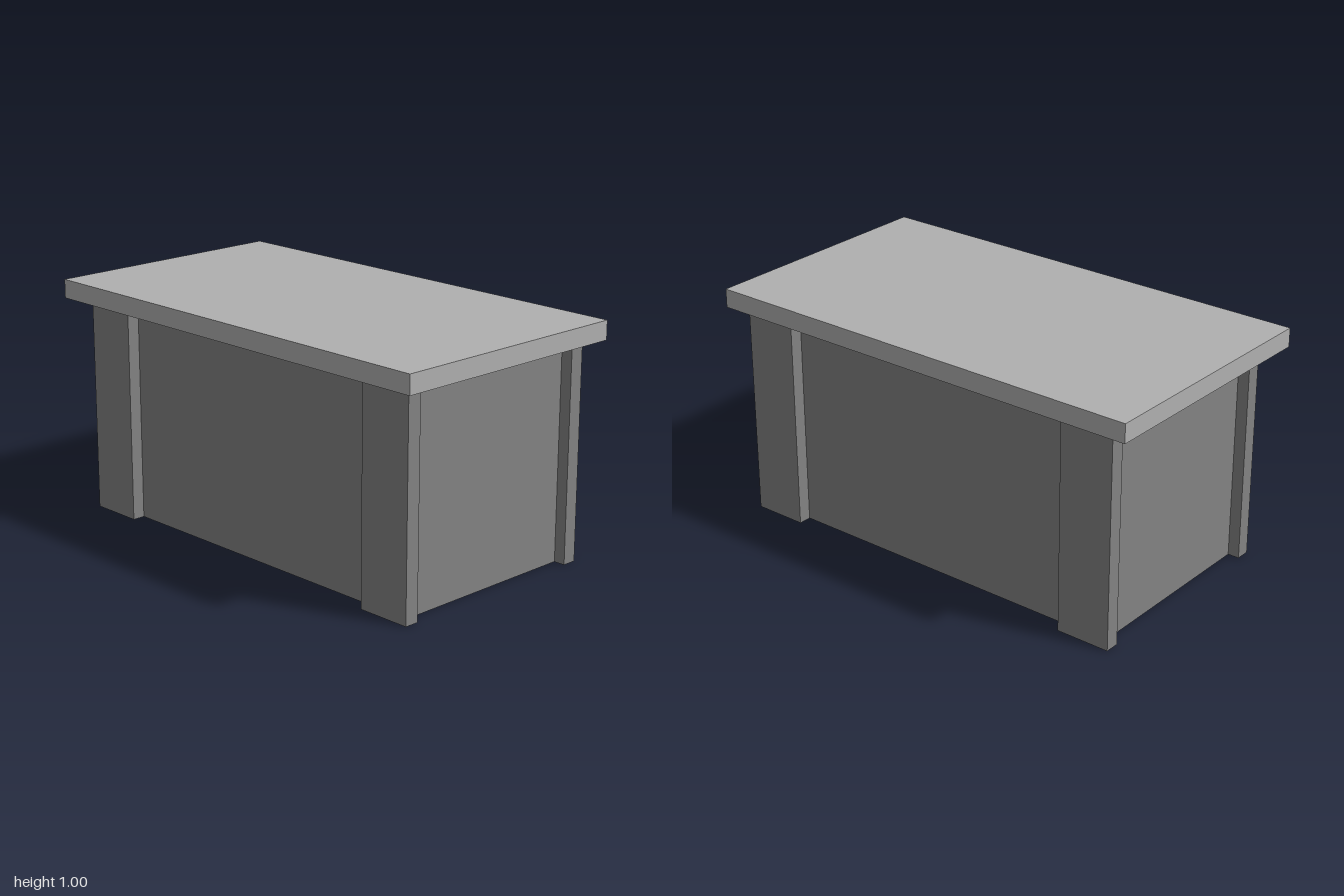
import * as THREE from 'three';

// Four upright walls, open above and below; the slab closes the top.
function openBox(name, x0, x1, z0, z1, height, material) {
  const group = new THREE.Group();
  group.name = name;
  const cx = (x0 + x1) / 2, cz = (z0 + z1) / 2;
  const w = x1 - x0, d = z1 - z0;
  const walls = [
    ['Front', w, cx, z1, 0],
    ['Left', d, x1, cz, Math.PI / 2],
    ['Back', w, cx, z0, Math.PI],
    ['Right', d, x0, cz, -Math.PI / 2],
  ];
  for (const [side, width, x, z, turn] of walls) {
    const wall = new THREE.Mesh(new THREE.PlaneGeometry(width, height), material);
    wall.name = name + side;
    wall.position.set(x, height / 2, z);
    wall.rotation.y = turn;
    group.add(wall);
  }
  return group;
}

export function createModel() {
  const model = new THREE.Group();
  model.name = 'counter';

  const topGray = new THREE.MeshStandardMaterial({ color: 0xb0b0b0 });
  topGray.name = 'light gray';
  const bodyGray = new THREE.MeshStandardMaterial({ color: 0x838383, side: THREE.DoubleSide });
  bodyGray.name = 'mid gray';

  // Overhanging slab
  const slab = new THREE.Mesh(new THREE.BoxGeometry(2, 0.08, 1.096), topGray);
  slab.name = 'tabletop';
  slab.position.y = 0.96;
  model.add(slab);

  // Hollow body, set slightly off centre under the slab
  const height = 0.92;
  model.add(openBox('body', -0.86, 0.875, -0.44, 0.42, height, bodyGray));

  // Flat corner posts standing proud of the body
  for (const [xName, x0, x1] of [['Left', 0.69, 0.925], ['Right', -0.91, -0.675]]) {
    for (const [zName, z0, z1] of [['front', 0.412, 0.474], ['back', -0.495, -0.433]]) {
      model.add(openBox(zName + xName + 'Post', x0, x1, z0, z1, height, bodyGray));
    }
  }

  return model;
}
